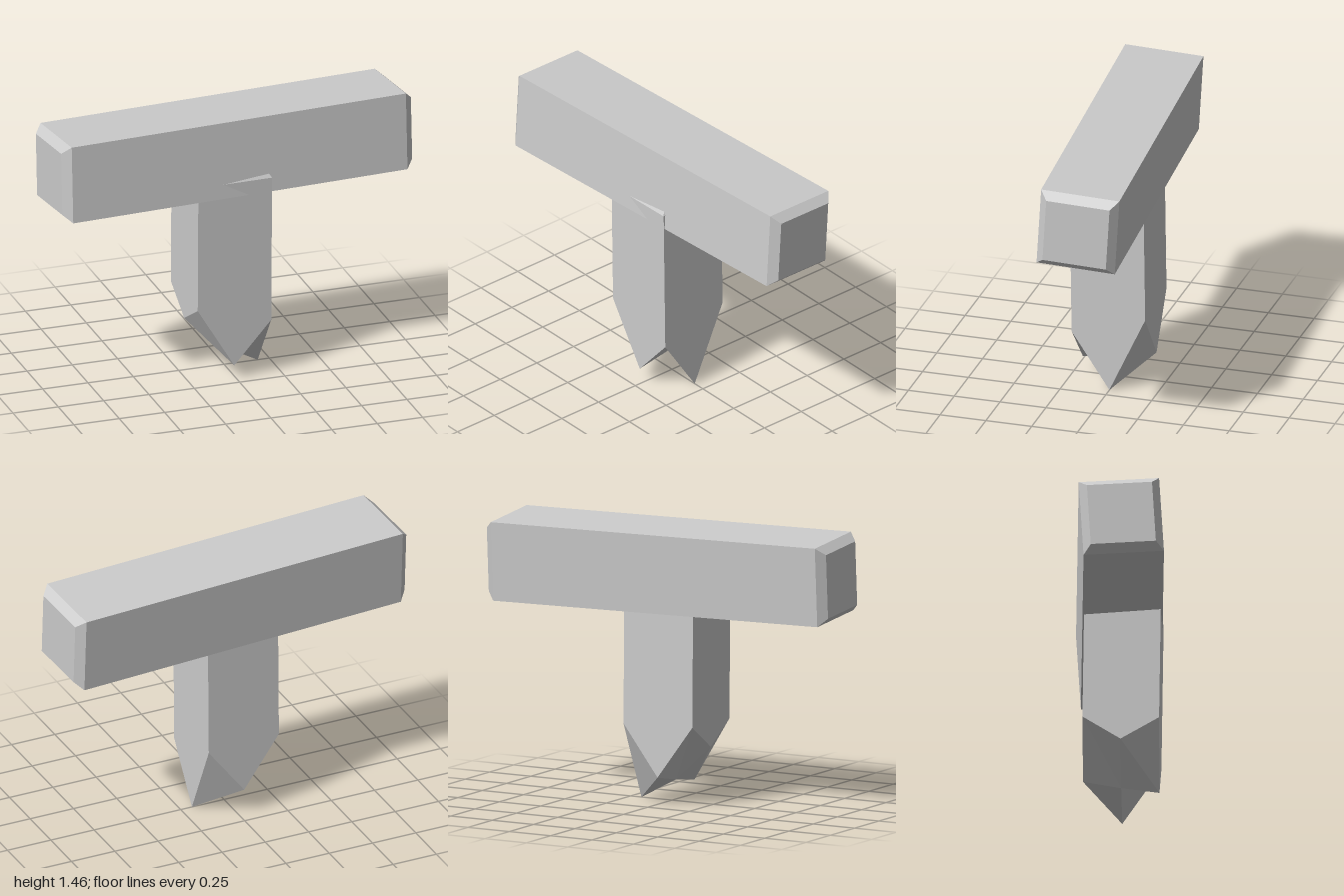
import * as THREE from 'three';

const material = new THREE.MeshStandardMaterial({ color: 0xcccccc, flatShading: true });

// Moves every vertex of a box by a rule and returns a faceted mesh.
function shapedBox(name, segments, rule) {
  const box = new THREE.BoxGeometry(2, 2, 2, ...segments);
  const position = box.attributes.position;
  const v = new THREE.Vector3();
  for (let i = 0; i < position.count; i++) {
    rule(v.fromBufferAttribute(position, i));
    position.setXYZ(i, v.x, v.y, v.z);
  }
  const geometry = box.toNonIndexed();
  geometry.computeVertexNormals();
  const mesh = new THREE.Mesh(geometry, material);
  mesh.name = name;
  return mesh;
}

// Square beam with bevelled ends, sitting slightly askew.
function createBeam() {
  const beam = shapedBox('crossBeam', [3, 1, 1], (v) => {
    const isEnd = Math.abs(v.x) > 0.9;
    const half = isEnd ? 0.17 : 0.21;
    v.set(Math.sign(v.x) * (isEnd ? 0.989 : 0.945), v.y * half, v.z * half);
  });
  beam.position.y = 1.238;
  beam.rotation.set(-0.06, 0.066, -0.004, 'YXZ');
  return beam;
}

// Post with a jagged, splintered foot and a small bevel at its top.
function createPost() {
  // Foot heights: rows run back to front, columns from -x to +x.
  const foot = [
    [0.43, 0.15, 0.42],
    [0.30, 0.11, 0.0],
    [0.42, 0.08, 0.31],
  ];
  const post = shapedBox('post', [2, 2, 2], (v) => {
    const column = Math.round(v.x) + 1;
    const row = Math.round(v.z) + 1;
    const level = Math.round(v.y);
    const y = [foot[row][column], 1.12, 1.14][level + 1];
    const inset = level === 1 ? 0.012 : 0;
    v.set(v.x * (0.205 - inset), y, v.z * (0.2 - inset) + 0.014 * y);
  });
  post.position.set(-0.02, 0, 0.006);
  post.rotation.y = 0.025;
  return post;
}

export function createModel() {
  const model = new THREE.Group();
  model.name = 'hammerShapedPost';
  model.add(createBeam(), createPost());
  return model;
}
